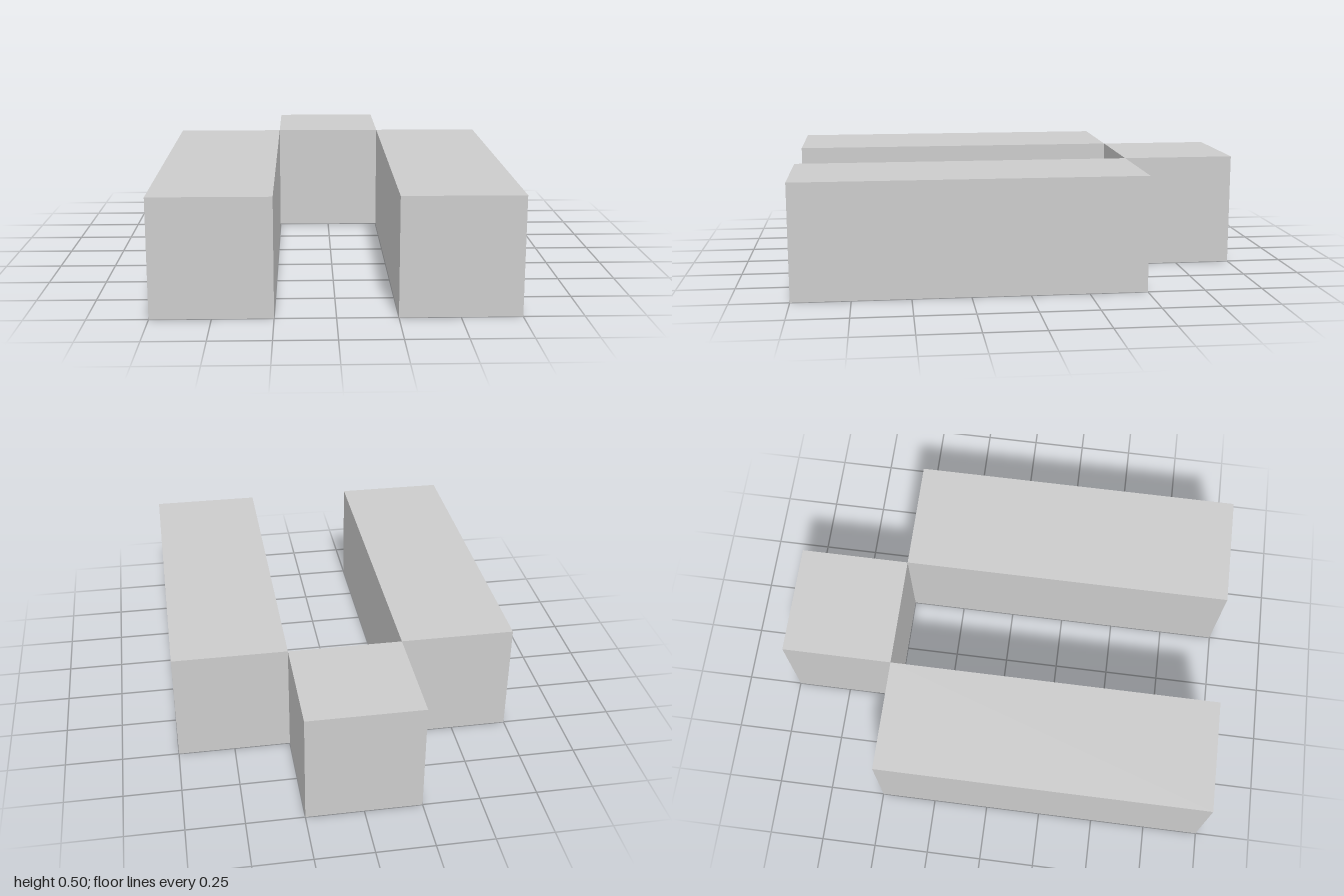
import * as THREE from 'three';

const SIZE = 0.5; // shared width and height of every block

export function createModel() {
  const group = new THREE.Group();
  group.name = 'blocks';
  const material = new THREE.MeshStandardMaterial({ color: 0xcccccc, flatShading: true });

  const addBlock = (name, length, x, z) => {
    const block = new THREE.Mesh(new THREE.BoxGeometry(SIZE, SIZE, length), material);
    block.name = name;
    block.position.set(x, SIZE / 2, z);
    group.add(block);
  };

  // Two long side bars, meeting the rear block only along its front edges
  addBlock('leftBar', 1.5, SIZE, 0.25);
  addBlock('rightBar', 1.5, -SIZE, 0.25);

  // Cube centred behind the gap
  addBlock('rearBlock', SIZE, 0, -0.75);

  return group;
}
